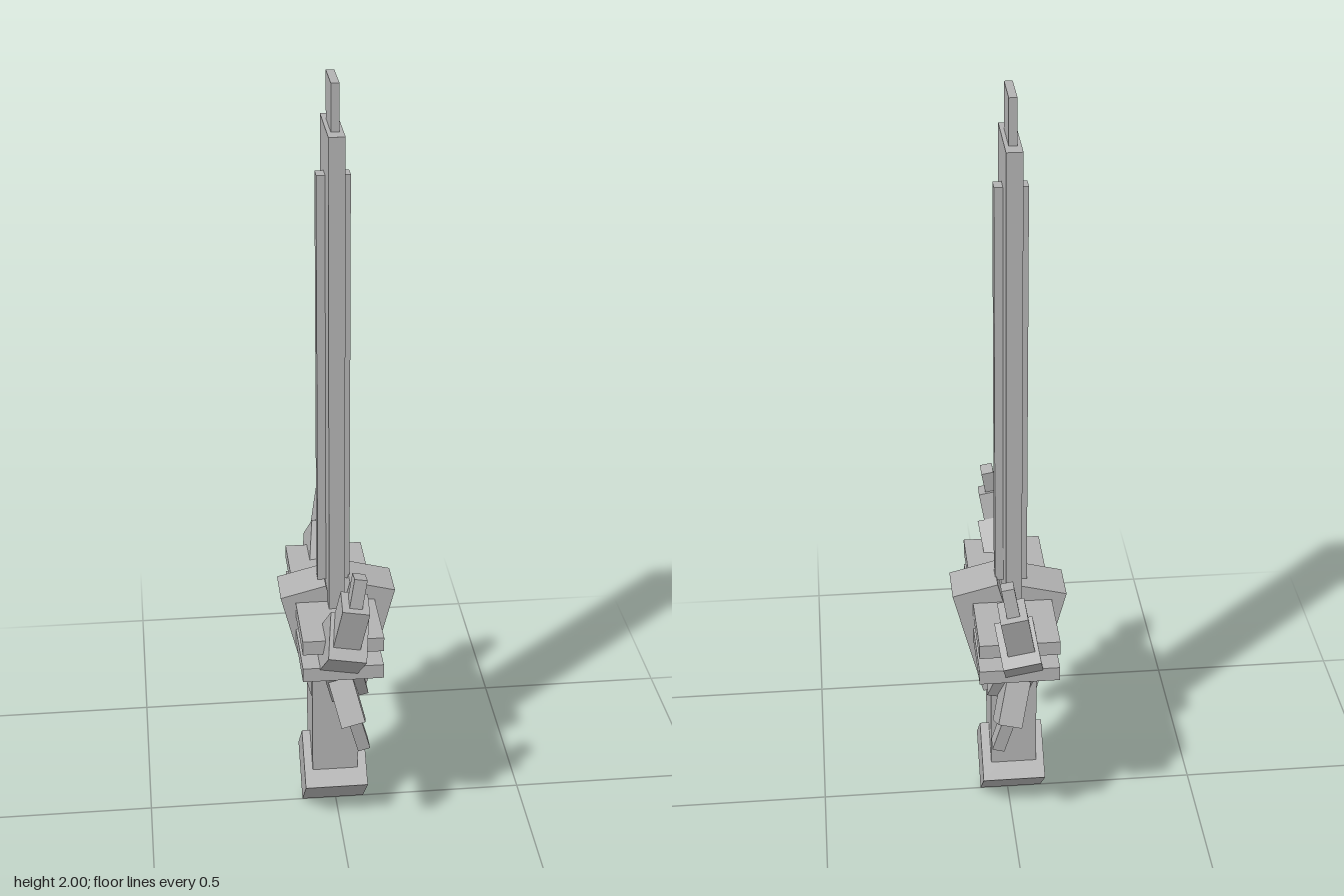
import * as THREE from 'three';

export function createModel() {
  const model = new THREE.Group();
  model.name = 'sword';
  const grey = new THREE.MeshStandardMaterial({ color: 0xb2b2b2 });
  grey.name = 'plain grey';
  const deg = Math.PI / 180;

  // Box given its size, centre, outward tilt (about x) and sideways roll (about z), in degrees
  function box(parent, name, size, centre, tilt = 0, roll = 0) {
    const mesh = new THREE.Mesh(new THREE.BoxGeometry(...size), grey);
    mesh.name = name;
    mesh.position.set(...centre);
    mesh.rotation.set(tilt * deg, 0, roll * deg, 'ZXY');
    parent.add(mesh);
  }

  // Blade with stepped tip and raised central rib
  const cx = -0.007;
  box(model, 'blade', [0.04, 1.315, 0.194], [cx, 1.2275, -0.001]);
  box(model, 'bladeTip', [0.02, 0.16, 0.114], [cx, 1.92, -0.001]);
  box(model, 'bladeRib', [0.082, 1.08, 0.038], [cx, 1.23, -0.001]);

  // Grip and diamond pommel
  box(model, 'grip', [0.12, 0.45, 0.152], [-0.009, 0.37, 0]);
  box(model, 'pommel', [0.165, 0.156, 0.156], [-0.008, 0.111, 0], 45);

  // Two guard bars
  for (const y of [0.55, 0.628]) {
    box(model, 'guardBar', [0.203, 0.038, 0.504], [cx, y, 0]);
  }

  // Slanted plates either side of the blade
  box(model, 'leftPlate', [0.12, 0.31, 0.116], [0.05, 0.535, -0.001], 0, -14.5);
  box(model, 'rightPlate', [0.12, 0.31, 0.116], [-0.05, 0.527, -0.001], 0, 14.5);

  // Claws in three joints, mirrored front to back: size, centre, tilt, roll
  const claws = {
    upperClaw: [
      [[0.096, 0.2, 0.12], [-0.01, 0.605, 0.217], 45, -10],
      [[0.068, 0.16, 0.075], [0.003, 0.7, 0.28], 13, -10],
      [[0.032, 0.1, 0.042], [0.02, 0.795, 0.294], -7, -10],
    ],
    lowerClaw: [
      [[0.096, 0.2, 0.11], [0, 0.51, 0.095], -63, 13],
      [[0.062, 0.15, 0.075], [0.005, 0.447, 0.192], -27, 15],
      [[0.032, 0.09, 0.042], [0.035, 0.36, 0.23], 7, 15],
    ],
  };
  for (const [name, joints] of Object.entries(claws)) {
    for (const side of [1, -1]) {
      const claw = new THREE.Group();
      claw.name = (side > 0 ? 'front ' : 'back ') + name;
      joints.forEach(([size, [x, y, z], tilt, roll], i) => {
        box(claw, ['clawBase', 'clawMiddle', 'clawTip'][i], size, [x, y, side * z], side * tilt, roll);
      });
      model.add(claw);
    }
  }
  return model;
}
